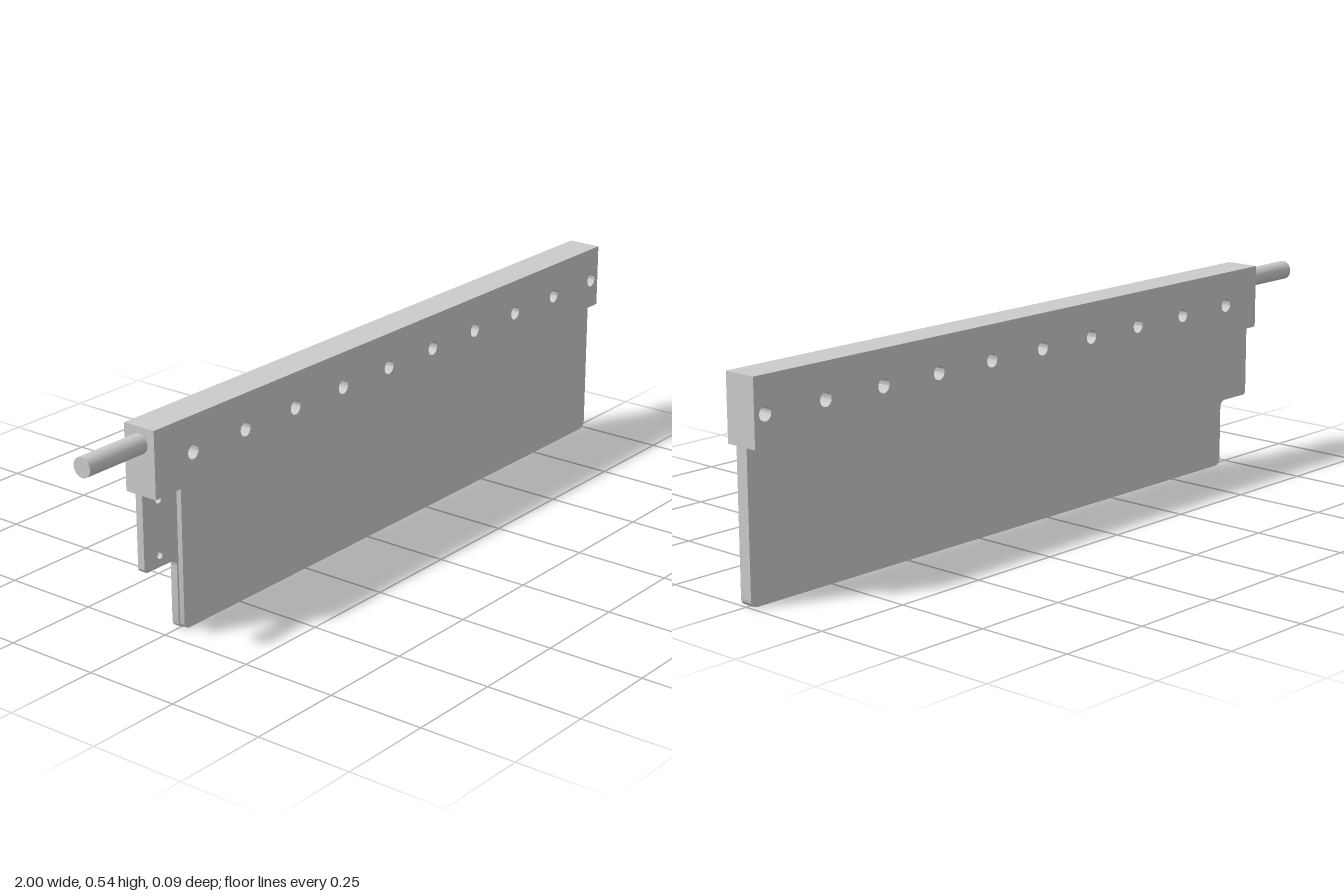
import * as THREE from 'three';
import { toCreasedNormals } from 'three/addons/utils/BufferGeometryUtils.js';

const material = new THREE.MeshStandardMaterial({ color: 0xcccccc });

function addMesh(group, name, geometry) {
  const mesh = new THREE.Mesh(geometry, material);
  mesh.name = name;
  group.add(mesh);
  return mesh;
}

// Outline from [x, y, cornerRadius] points, each corner rounded by its radius
function roundedShape(points) {
  const shape = new THREE.Shape();
  const n = points.length;
  points.forEach(([x, y, r], i) => {
    const toward = ([px, py]) => {
      const d = Math.hypot(px - x, py - y);
      return [x + ((px - x) * r) / d, y + ((py - y) * r) / d];
    };
    const a = toward(points[(i + n - 1) % n]);
    const b = toward(points[(i + 1) % n]);
    if (i === 0) shape.moveTo(...a);
    else shape.lineTo(...a);
    if (r > 0) shape.quadraticCurveTo(x, y, ...b);
  });
  shape.closePath();
  return shape;
}

function addHole(shape, x, y, r) {
  shape.holes.push(new THREE.Path().absarc(x, y, r, 0, Math.PI * 2, true));
}

// Extrude a shape between two depths, keeping edges sharp and curves smooth
function slab(shape, z0, z1) {
  const geometry = new THREE.ExtrudeGeometry(shape, {
    depth: z1 - z0, bevelEnabled: false, curveSegments: 12,
  });
  geometry.translate(0, 0, z0);
  return toCreasedNormals(geometry, Math.PI / 5);
}

export function createModel() {
  const model = new THREE.Group();
  const left = -0.815, barBottom = 0.375, barTop = 0.543;

  // Clamping bar with a row of through holes
  const bar = roundedShape([
    [left, barBottom, 0], [1, barBottom, 0], [1, barTop, 0], [left, barTop, 0],
  ]);
  for (let i = 0; i < 10; i++) addHole(bar, -0.685 + i * 0.1836, 0.453, 0.018);
  addMesh(model, 'clampBar', slab(bar, -0.0455, 0.0455));

  // Blade with a stepped tab; the tab is thinner and carries two blind holes
  const bladeOutline = () => roundedShape([
    [-0.705, 0, 0.02], [1, 0, 0.02], [1, barBottom, 0],
    [left, barBottom, 0], [left, 0.18, 0.012], [-0.705, 0.18, 0.02],
  ]);
  const blade = new THREE.Group();
  blade.name = 'blade';
  model.add(blade);
  addMesh(blade, 'bladeBack', slab(bladeOutline(), -0.017, -0.01));
  const tabLayer = bladeOutline();
  for (const y of [0.209, 0.348]) addHole(tabLayer, -0.762, y, 0.009);
  addMesh(blade, 'bladeTabLayer', slab(tabLayer, -0.01, 0.003));
  const front = roundedShape([
    [-0.7, 0, 0.02], [1, 0, 0.02], [1, barBottom, 0], [-0.7, barBottom, 0],
  ]);
  addMesh(blade, 'bladeFront', slab(front, 0.003, 0.017));

  // Round rod projecting from the end of the bar
  const rod = new THREE.CylinderGeometry(0.025, 0.025, 1 + left, 40);
  rod.rotateZ(Math.PI / 2);
  addMesh(model, 'endRod', rod).position.set((left - 1) / 2, 0.502, 0);

  return model;
}
